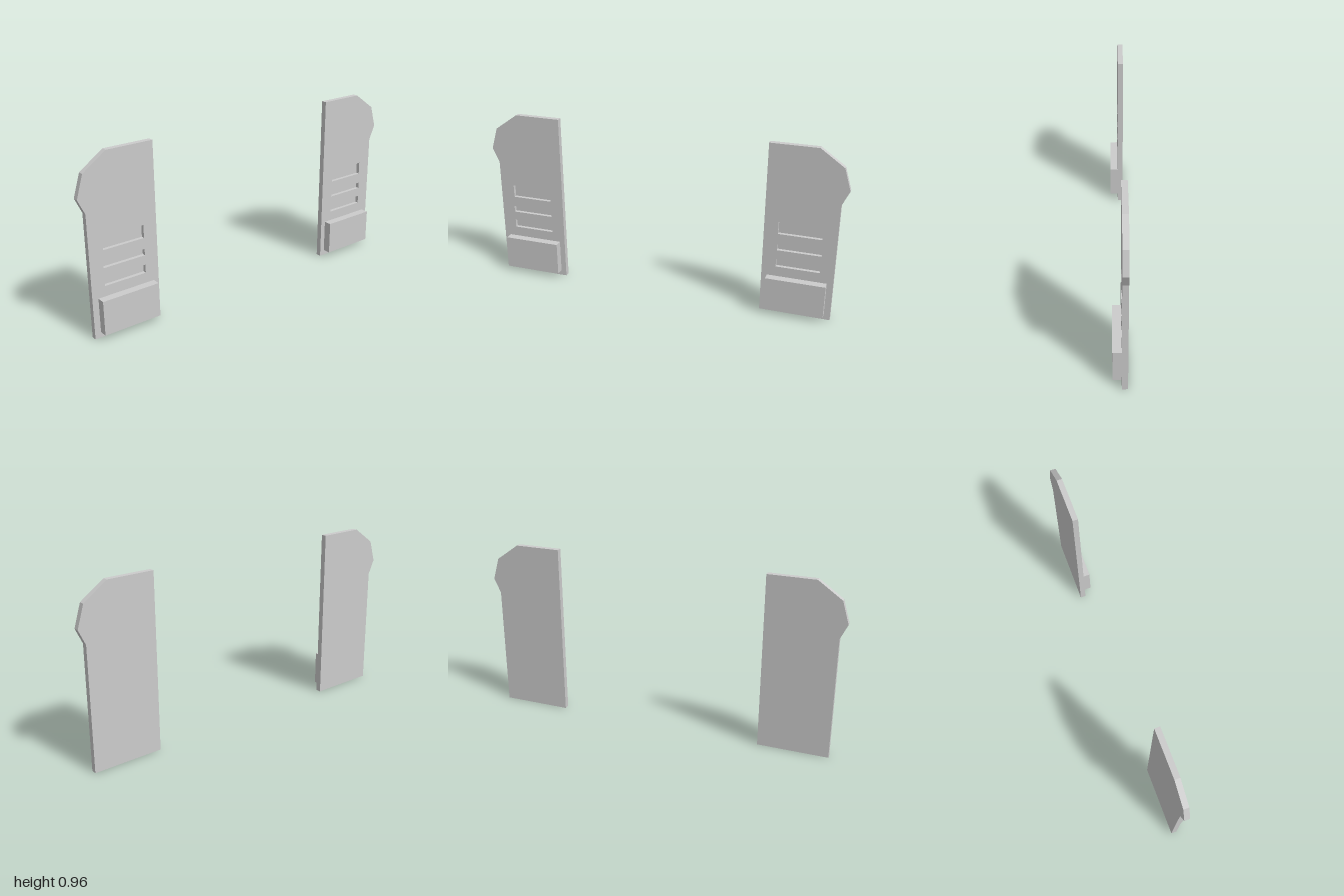
import * as THREE from 'three';
import { mergeGeometries } from 'three/addons/utils/BufferGeometryUtils.js';

const BACK = -0.037, FRONT = -0.007, FLOOR = -0.027, BLOCK_FRONT = 0.038;

// Left-hand panel outline; the other panel mirrors it
const OUTLINE = [[0.58, 0], [0.963, 0], [0.963, 0.67], [1, 0.75], [0.963, 0.87], [0.835, 0.96], [0.58, 0.96]];
// Recessed slots: x0, x1, y0, y1
const SLOTS = [[0.655, 0.885, 0.465, 0.535], [0.655, 0.89, 0.37, 0.405], [0.655, 0.89, 0.273, 0.318]];

const material = new THREE.MeshStandardMaterial({ color: 0xcccccc, flatShading: true });

const rectangle = ([x0, x1, y0, y1]) => [[x0, y0], [x1, y0], [x1, y1], [x0, y1]];

// Points mirrored for the given side, always counter-clockwise
function toPoints(list, side) {
  const points = list.map(([x, y]) => new THREE.Vector2(x * side, y));
  return side < 0 ? points.reverse() : points;
}

function face(points, z, holes = []) {
  const shape = new THREE.Shape(points);
  shape.holes = holes.map((h) => new THREE.Path(h));
  return new THREE.ShapeGeometry(shape).translate(0, 0, z).toNonIndexed();
}

// Side walls facing outward for counter-clockwise points, inward for reversed ones
function walls(points, z0, z1) {
  const position = [], uv = [];
  points.forEach((a, i) => {
    const b = points[(i + 1) % points.length];
    position.push(a.x, a.y, z0, b.x, b.y, z0, b.x, b.y, z1);
    position.push(a.x, a.y, z0, b.x, b.y, z1, a.x, a.y, z1);
    uv.push(0, 0, 1, 0, 1, 1, 0, 0, 1, 1, 0, 1);
  });
  const geometry = new THREE.BufferGeometry();
  geometry.setAttribute('position', new THREE.Float32BufferAttribute(position, 3));
  geometry.setAttribute('uv', new THREE.Float32BufferAttribute(uv, 2));
  geometry.computeVertexNormals();
  return geometry;
}

function createPanel(side) {
  const outline = toPoints(OUTLINE, side);
  const slots = SLOTS.map((s) => toPoints(rectangle(s), side));

  // Slab with blind slots in its front face
  const back = face(outline.map((p) => new THREE.Vector2(-p.x, p.y)), 0)
    .rotateY(Math.PI).translate(0, 0, BACK);
  const parts = [face(outline, FRONT, slots), back, walls(outline, BACK, FRONT)];
  for (const slot of slots) {
    parts.push(face(slot, FLOOR), walls([...slot].reverse(), FLOOR, FRONT));
  }
  const slab = new THREE.Mesh(mergeGeometries(parts), material);
  slab.name = 'slottedPanel';

  // Raised block near the foot
  const block = new THREE.Mesh(new THREE.BoxGeometry(0.32, 0.187, BLOCK_FRONT - FRONT), material);
  block.position.set(0.77 * side, 0.1235, (BLOCK_FRONT + FRONT) / 2);
  block.name = 'raisedBlock';

  const group = new THREE.Group();
  group.name = side > 0 ? 'leftPanel' : 'rightPanel';
  group.add(slab, block);
  return group;
}

export function createModel() {
  const model = new THREE.Group();
  model.name = 'pairOfPanels';
  for (const side of [1, -1]) model.add(createPanel(side));
  return model;
}
